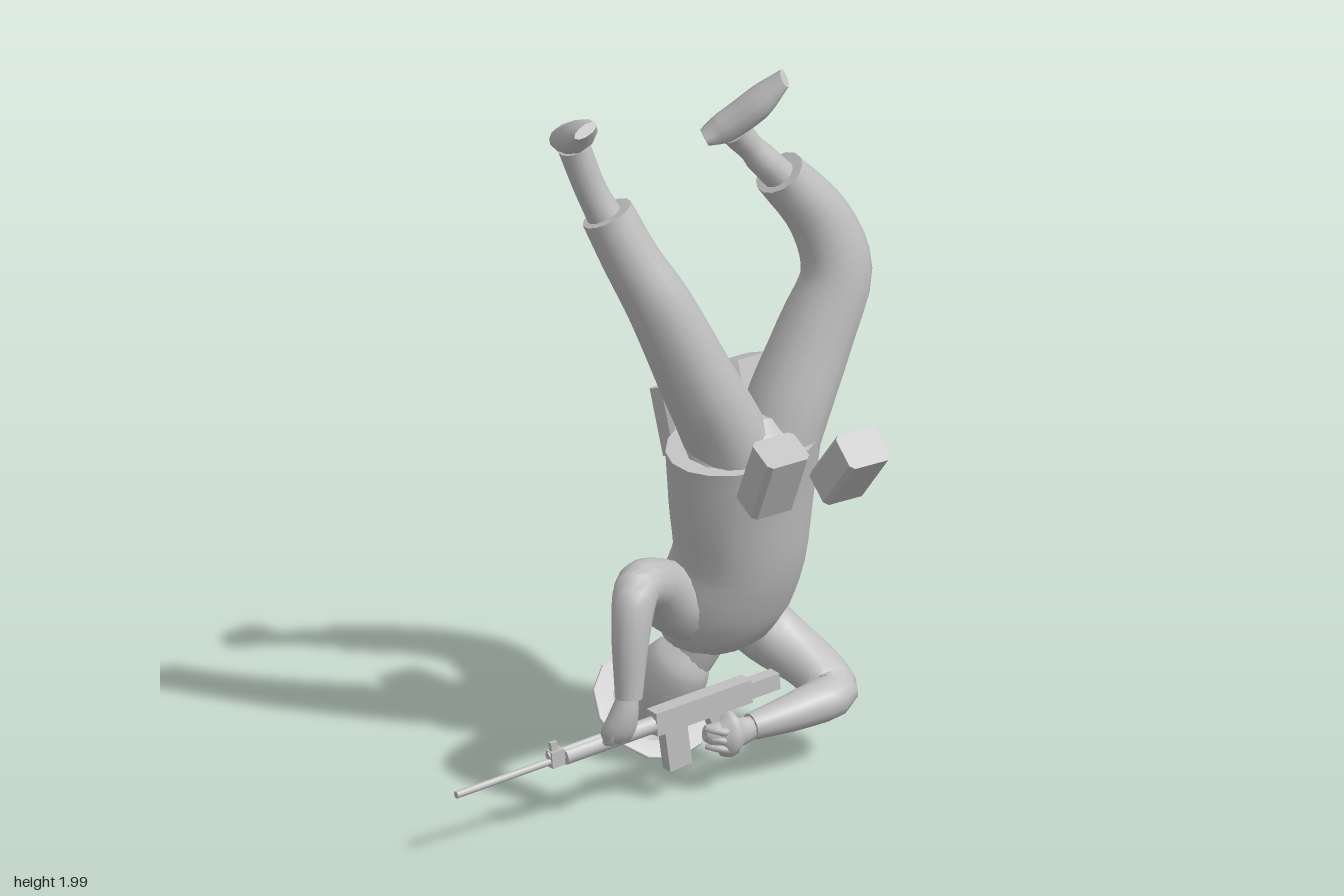
import * as THREE from 'three';

const grey = new THREE.MeshStandardMaterial({ color: 0xc0c0c0, side: THREE.DoubleSide });
grey.name = 'plain grey';

// Smooth tube through sections [x, y, z, half-width along ref, half-width across ref]
function loft(name, pts, ref = [1, 0, 0], sides = 14, steps = 4) {
  const curve = new THREE.CatmullRomCurve3(pts.map(p => new THREE.Vector3(p[0], p[1], p[2])));
  const radii = new THREE.CatmullRomCurve3(pts.map(p => new THREE.Vector3(p[3], p[4], 0)));
  const n = (pts.length - 1) * steps, pos = [], idx = [];
  const r = new THREE.Vector3(...ref).normalize();
  for (let i = 0; i <= n; i++) {
    const c = curve.getPoint(i / n), t = curve.getTangent(i / n), s = radii.getPoint(i / n);
    const u = r.clone().addScaledVector(t, -r.dot(t)).normalize();
    const v = t.clone().cross(u);
    for (let j = 0; j < sides; j++) {
      const a = j / sides * Math.PI * 2;
      const p = c.clone().addScaledVector(u, s.x * Math.cos(a)).addScaledVector(v, s.y * Math.sin(a));
      pos.push(p.x, p.y, p.z);
      if (i < n) {
        const k = (j + 1) % sides, A = i * sides + j, B = i * sides + k;
        idx.push(A, B, B + sides, A, B + sides, A + sides);
      }
    }
  }
  // flat end caps on their own vertices
  for (const end of [0, n]) {
    const base = pos.length / 3, c = curve.getPoint(end / n);
    pos.push(...pos.slice(end * sides * 3, (end + 1) * sides * 3), c.x, c.y, c.z);
    for (let j = 0; j < sides; j++) {
      const a = base + j, b = base + (j + 1) % sides;
      idx.push(base + sides, ...(end ? [a, b] : [b, a]));
    }
  }
  const g = new THREE.BufferGeometry();
  g.setAttribute('position', new THREE.Float32BufferAttribute(pos, 3));
  g.setIndex(idx);
  g.computeVertexNormals();
  return named(g, name);
}

function named(geometry, name, x = 0, y = 0, z = 0) {
  const m = new THREE.Mesh(geometry, grey);
  m.name = name;
  m.position.set(x, y, z);
  return m;
}

// Pouch: box with chamfered edges along its height
function pouch(name, pos, size, rot) {
  const [w, h, d] = size.map(v => v / 2), c = 0.012;
  const s = new THREE.Shape([[-w + c, -d], [w - c, -d], [w, -d + c], [w, d - c], [w - c, d],
    [-w + c, d], [-w, d - c], [-w, -d + c]].map(p => new THREE.Vector2(...p)));
  const g = new THREE.ExtrudeGeometry(s, { depth: h * 2, bevelEnabled: false });
  g.translate(0, 0, -h).rotateX(-Math.PI / 2);
  const m = named(g, name, ...pos);
  m.rotation.set(...rot);
  return m;
}

function makeRifle() {
  const gun = new THREE.Group();
  gun.name = 'rifle';
  const rod = (name, x0, x1, r, y = 0) => {
    const g = new THREE.CylinderGeometry(r, r, x1 - x0, 8).rotateZ(Math.PI / 2);
    gun.add(named(g, name, (x0 + x1) / 2, y, 0));
  };
  const box = (name, w, h, d, x, y, tilt = 0) => {
    const m = named(new THREE.BoxGeometry(w, h, d), name, x, y, 0);
    m.rotation.z = tilt;
    gun.add(m);
  };
  rod('barrel', -0.66, -0.3, 0.01);
  rod('gasTube', -0.37, -0.2, 0.01, 0.018);
  rod('handguard', -0.32, -0.04, 0.024);
  box('frontSight', 0.02, 0.035, 0.012, -0.35, 0.035);
  box('sightBase', 0.04, 0.045, 0.028, -0.345, 0.006);
  box('receiver', 0.3, 0.065, 0.045, 0.11, 0.006);
  box('stock', 0.1, 0.045, 0.04, 0.3, 0.005);
  box('magazine', 0.07, 0.12, 0.035, 0.025, -0.08, 0.06);
  box('grip', 0.045, 0.09, 0.034, 0.16, -0.06, 0.3);
  gun.position.set(0, 0.238, 0.095);
  gun.rotation.z = 0.08;
  return gun;
}

export function createModel() {
  const model = new THREE.Group();
  model.name = 'upturnedSoldier';

  // jacket, pelvis, neck and head
  model.add(
    loft('jacket', [[0.28, 0.955, 0.05, 0.225, 0.155], [0.295, 0.8, 0.02, 0.21, 0.15],
      [0.315, 0.6, -0.025, 0.185, 0.155], [0.3, 0.46, -0.075, 0.19, 0.147],
      [0.325, 0.36, -0.125, 0.15, 0.11], [0.32, 0.295, -0.14, 0.07, 0.05]], [1, 0, 0], 18),
    loft('pelvis', [[0.29, 0.9, 0.05, 0.19, 0.13], [0.3, 0.98, 0.055, 0.18, 0.12],
      [0.31, 1.03, 0.06, 0.06, 0.06]]),
    loft('neck', [[0.26, 0.42, -0.08, 0.08, 0.08], [0.225, 0.32, -0.11, 0.07, 0.075],
      [0.19, 0.22, -0.17, 0.07, 0.08]]),
    loft('head', [[0.205, 0.335, -0.085, 0.04, 0.04], [0.195, 0.285, -0.115, 0.08, 0.085],
      [0.185, 0.2, -0.175, 0.095, 0.105], [0.175, 0.12, -0.23, 0.09, 0.1]])
  );

  // wide-brimmed helmet
  const dome = [[0.11, -0.005], [0.163, -0.008], [0.165, 0], [0.128, 0.02], [0.118, 0.045],
    [0.065, 0.075], [0.055, 0.08], [0, 0.09]].map(p => new THREE.Vector2(...p));
  const helmet = named(new THREE.LatheGeometry(dome, 12), 'helmet', 0.18, 0.122, -0.232);
  helmet.quaternion.setFromUnitVectors(new THREE.Vector3(0, 1, 0), new THREE.Vector3(0, -0.75, -0.66).normalize());
  model.add(helmet);

  // trouser legs
  model.add(
    loft('rightTrouserLeg', [[0.24, 0.92, 0.055, 0.11, 0.12], [0.195, 1.02, 0.06, 0.108, 0.118],
      [0.125, 1.15, 0.07, 0.1, 0.11], [0.005, 1.4, 0.06, 0.086, 0.09],
      [-0.06, 1.53, 0.03, 0.075, 0.078], [-0.115, 1.665, -0.005, 0.07, 0.07]]),
    loft('leftTrouserLeg', [[0.38, 0.92, 0.05, 0.11, 0.12], [0.42, 1.03, 0.055, 0.11, 0.118],
      [0.495, 1.2, 0.06, 0.105, 0.105], [0.555, 1.37, 0.072, 0.098, 0.085],
      [0.515, 1.52, 0.055, 0.084, 0.08], [0.4, 1.67, 0.035, 0.068, 0.078]])
  );

  // boots: shaft and foot
  model.add(
    loft('rightBootShaft', [[-0.1, 1.62, -0.005, 0.05, 0.05], [-0.15, 1.73, -0.025, 0.042, 0.042],
      [-0.195, 1.86, -0.04, 0.042, 0.045]]),
    loft('rightFoot', [[-0.185, 1.85, -0.125, 0.028, 0.026], [-0.192, 1.868, -0.075, 0.042, 0.042],
      [-0.22, 1.92, 0.02, 0.05, 0.04], [-0.25, 1.967, 0.095, 0.036, 0.015]], [1, 0.4, 0], 10),
    loft('leftBootShaft', [[0.42, 1.64, 0.04, 0.045, 0.05], [0.345, 1.725, 0.03, 0.042, 0.045],
      [0.265, 1.82, 0.025, 0.042, 0.045]]),
    loft('leftFoot', [[0.185, 1.81, 0.005, 0.03, 0.018], [0.235, 1.835, 0.025, 0.045, 0.04],
      [0.3, 1.905, 0.08, 0.052, 0.038], [0.352, 1.982, 0.13, 0.036, 0.014]], [-0.4, -0.3, 0.85], 10)
  );

  // arms
  const depth = [0, 0, 1];
  model.add(
    loft('rightSleeve', [[0.23, 0.44, -0.09, 0.12, 0.11], [0.1, 0.52, -0.05, 0.09, 0.09],
      [0, 0.6, 0.03, 0.07, 0.07], [-0.1, 0.635, 0.11, 0.06, 0.062],
      [-0.138, 0.54, 0.14, 0.05, 0.052], [-0.155, 0.36, 0.155, 0.036, 0.036]], depth),
    loft('rightHand', [[-0.155, 0.38, 0.155, 0.025, 0.025], [-0.165, 0.32, 0.15, 0.035, 0.04],
      [-0.175, 0.265, 0.135, 0.035, 0.05], [-0.175, 0.235, 0.11, 0.02, 0.03]], depth, 10),
    loft('leftSleeve', [[0.38, 0.4, -0.14, 0.09, 0.09], [0.455, 0.31, -0.09, 0.085, 0.085],
      [0.51, 0.245, 0.02, 0.07, 0.075], [0.515, 0.2, 0.11, 0.06, 0.07],
      [0.4, 0.185, 0.13, 0.052, 0.055], [0.25, 0.17, 0.125, 0.036, 0.036]], [0, 1, 0]),
    loft('leftHand', [[0.27, 0.17, 0.125, 0.026, 0.024], [0.21, 0.165, 0.125, 0.04, 0.035],
      [0.15, 0.17, 0.12, 0.04, 0.035], [0.115, 0.18, 0.11, 0.02, 0.02]], [0, 1, 0], 10)
  );
  // curled fingers on both hands
  for (let i = 0; i < 3; i++) {
    const y = 0.13 + i * 0.024, x = -0.2 + i * 0.024;
    model.add(
      loft('leftFinger', [[0.2, y, 0.14, 0.012, 0.012], [0.145, y + 0.01, 0.15, 0.012, 0.012],
        [0.115, y + 0.015, 0.115, 0.01, 0.01]], [0, 1, 0], 6, 2),
      loft('rightFinger', [[x, 0.285, 0.15, 0.012, 0.012], [x, 0.24, 0.14, 0.012, 0.012],
        [x, 0.232, 0.09, 0.01, 0.01]], [1, 0, 0], 6, 2)
    );
  }

  // belt pouches
  model.add(
    pouch('frontRightPouch', [0.23, 0.93, 0.255], [0.13, 0.195, 0.1], [0.45, 0, 0.03]),
    pouch('frontLeftPouch', [0.467, 0.905, 0.263], [0.128, 0.19, 0.105], [0.7, 0, 0]),
    pouch('backRightPouch', [0.203, 0.97, -0.125], [0.125, 0.18, 0.08], [-0.35, 0, 0]),
    pouch('backLeftPouch', [0.448, 0.965, -0.18], [0.12, 0.18, 0.08], [-0.35, 0.17, 0])
  );

  model.add(makeRifle());
  return model;
}
